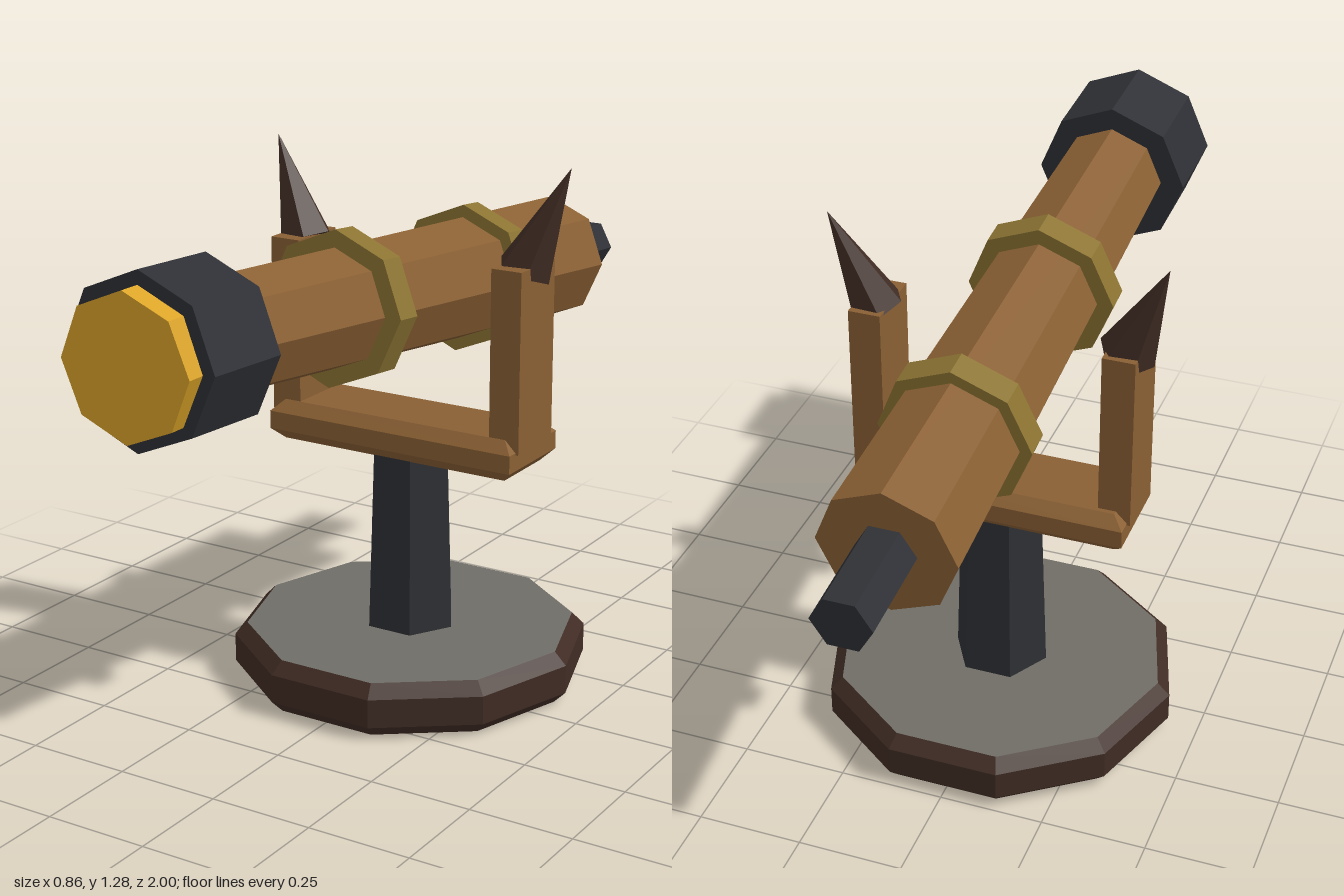
import * as THREE from 'three';

const material = (color) => new THREE.MeshStandardMaterial({ color, flatShading: true });

export function createModel() {
  const model = new THREE.Group();
  model.name = 'mountedSpyglass';

  const wood = material(0x8a6034);
  const darkWood = material(0x402c24);
  const iron = material(0x2e3035);
  const brass = material(0x8c7432);
  const amber = material(0xdca428);
  const stone = material(0x706d67);
  const midZ = -0.08;

  const add = (name, geometry, mat, x = 0, y = 0, z = 0) => {
    const mesh = new THREE.Mesh(geometry, mat);
    mesh.name = name;
    mesh.position.set(x, y, z);
    model.add(mesh);
    return mesh;
  };

  // Faceted rod running from point a to point b
  const rod = (name, a, b, ra, rb, sides, mat, start = 0) => {
    const from = new THREE.Vector3(...a);
    const to = new THREE.Vector3(...b);
    const axis = to.clone().sub(from);
    const geometry = new THREE.CylinderGeometry(rb, ra, axis.length(), sides, 1, false, start);
    const mesh = add(name, geometry, mat);
    mesh.position.copy(from).add(to).multiplyScalar(0.5);
    mesh.quaternion.setFromUnitVectors(new THREE.Vector3(0, 1, 0), axis.normalize());
    return mesh;
  };

  // Ten-sided base: chamfered rim with inset top and bottom faces
  const rim = [[0.4, 0], [0.43, 0.03], [0.43, 0.1], [0.4, 0.13]].map((p) => new THREE.Vector2(...p));
  add('baseRim', new THREE.LatheGeometry(rim, 10, Math.PI / 2), darkWood, 0, 0, midZ);
  const disc = new THREE.CircleGeometry(0.4, 10);
  add('baseTop', disc, stone, 0, 0.13, midZ).rotation.x = -Math.PI / 2;
  add('baseBottom', disc, stone, 0, 0, midZ).rotation.x = Math.PI / 2;

  // Tapered hexagonal column
  rod('column', [0, 0.13, midZ], [0, 0.58, midZ], 0.115, 0.1, 6, iron, Math.PI / 2);

  // Chamfered crossbar
  const bevel = 0.027;
  const w = 0.33 - bevel;
  const d = 0.113 - bevel;
  const plan = new THREE.Shape([[-w, -d], [w, -d], [w, d], [-w, d]].map((p) => new THREE.Vector2(...p)));
  const bar = new THREE.ExtrudeGeometry(plan, {
    depth: 0.098 - 2 * bevel, bevelThickness: bevel, bevelSize: bevel, bevelSegments: 1,
  });
  bar.rotateX(-Math.PI / 2);
  add('crossbar', bar, wood, 0, 0.567 + bevel, midZ);

  // Fork uprights with outward-leaning spikes
  for (const side of [-1, 1]) {
    const label = side > 0 ? 'left' : 'right';
    add(label + 'Upright', new THREE.BoxGeometry(0.077, 0.43, 0.16), wood, side * 0.299, 0.848, midZ + 0.005);
    rod(label + 'Spike', [side * 0.298, 1.045, -0.085], [side * 0.395, 1.285, -0.115],
      0.067, 0, 6, darkWood, Math.PI / 2);
  }

  // Barrel, wider at the back and sloping down towards it
  rod('barrel', [0, 0.897, -0.762], [0, 1.04, 0.8], 0.158, 0.128, 8, wood);
  for (const [name, y, z] of [['frontBand', 0.987, 0.225], ['rearBand', 0.936, -0.34]]) {
    rod(name, [0, y - 0.0032, z - 0.035], [0, y + 0.0032, z + 0.035], 0.179, 0.179, 8, brass);
  }

  // Lens housing, lens and eyepiece
  rod('lensHousing', [0, 1.031, 0.733], [0, 1.042, 0.957], 0.187, 0.187, 8, iron);
  rod('lens', [0, 1.04, 0.9], [0, 1.04, 1], 0.158, 0.158, 8, amber);
  rod('eyepiece', [0, 0.903, -0.74], [0, 0.883, -0.995], 0.069, 0.069, 6, iron, Math.PI / 2);

  return model;
}
